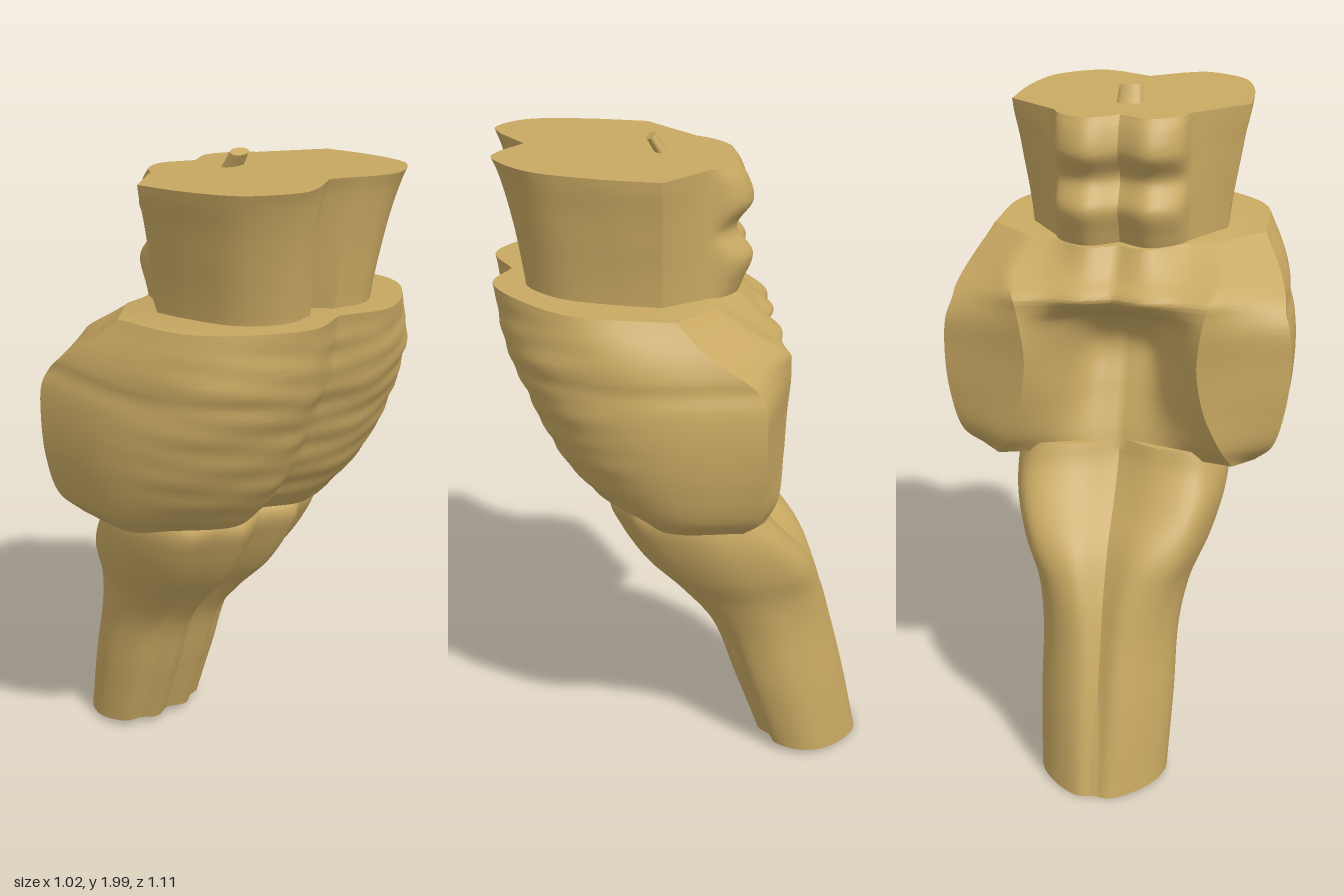
import * as THREE from 'three';
import { toCreasedNormals } from 'three/addons/utils/BufferGeometryUtils.js';

const material = new THREE.MeshStandardMaterial({ color: 0xc8a862, roughness: 0.8 });
const { smoothstep } = THREE.MathUtils;
const SUB = 6; // samples between neighbouring outline points

// Lofts mirrored cross-sections, lowest first. section(...key) gives half an
// outline as [x, z] points from the front midline round the left side to the
// back midline; corners are the points that stay sharp; shape adjusts each point.
function loft(name, keys, section, corners, steps, shape) {
  const outlines = keys.map(([y, ...sizes]) =>
    section(...sizes).map(([x, z]) => new THREE.Vector3(x, y, z)));
  const rails = outlines[0].map((_, i) => new THREE.CatmullRomCurve3(outlines.map((o) => o[i])));
  const breaks = [0, ...corners, rails.length - 1];
  const rings = [];
  for (let s = 0; s <= steps; s++) {
    const controls = rails.map((r) => r.getPoint(s / steps));
    const half = [];
    for (let b = 0; b + 1 < breaks.length; b++) {
      const part = controls.slice(breaks[b], breaks[b + 1] + 1);
      const points = new THREE.CatmullRomCurve3(part).getPoints((part.length - 1) * SUB);
      half.push(...(b ? points.slice(1) : points));
    }
    half.forEach(shape);
    const mirrored = half.slice(1, -1).reverse()
      .map((p) => new THREE.Vector3(-p.x, p.y, p.z));
    rings.push([...half, ...mirrored]);
  }

  const n = rings[0].length;
  const index = [];
  for (let s = 0; s < steps; s++) {
    for (let j = 0; j < n; j++) {
      const a = s * n + j, b = s * n + (j + 1) % n;
      index.push(a, b, b + n, a, b + n, a + n);
    }
  }
  // end caps
  for (const [ring, base, up] of [[rings[0], 0, false], [rings[steps], steps * n, true]]) {
    const flat = ring.map((p) => new THREE.Vector2(p.x, -p.z));
    for (const [a, b, c] of THREE.ShapeUtils.triangulateShape(flat, [])) {
      const turn = flat[b].clone().sub(flat[a]).cross(flat[c].clone().sub(flat[a]));
      if ((turn > 0) === up) index.push(base + a, base + b, base + c);
      else index.push(base + a, base + c, base + b);
    }
  }
  const geometry = new THREE.BufferGeometry().setFromPoints(rings.flat());
  geometry.setIndex(index);
  const mesh = new THREE.Mesh(toCreasedNormals(geometry, 0.65), material);
  mesh.name = name;
  return mesh;
}

// Stalk section: front columns, side swelling, back columns that spread apart
// around a hollow
function medullaSection(width, front, back, hollow) {
  const unit = [[0, .08], [.33, 0], [.56, .1], [.82, .15], [1, .4], [.92, .63], [.62, .86], [.24, 1], [0, .98]];
  const spread = [0, 0, 0, 0, 0, .9, 2, 1.9, 0];
  const sink = [0, 0, 0, 0, 0, 0, -.3, .3, 1];
  return unit.map(([u, v], i) => [
    (u + hollow * spread[i]) * width,
    front + (back - front) * v + hollow * sink[i],
  ]);
}

// Bulge section: rounded front, flat cut from outer to inner corner, hollow floor
function ponsSection(width, front, outerZ, innerX, innerZ, floor) {
  return [
    [0, front - .05], [.14, front], [.74 * width, front - .1], [.96 * width, (front + outerZ) / 2 + .02],
    [width, outerZ], [innerX, innerZ],
    [.68 * innerX, .65 * innerZ + .35 * floor], [.09, floor - .03], [0, floor],
  ];
}

// Block section: front pillar beside a cleft, straight flank, lobe at the back
function midbrainSection(width, front, cleft, lobe) {
  return [
    [0, front - .085], [cleft, front - .02], [.48 * width, front], [.83 * width, front - .085],
    [.97 * width, front - .25], [width, .09],
    [.2, -.045], [.175, lobe + .05], [.09, lobe], [0, lobe + .05],
  ];
}

export function createModel() {
  const model = new THREE.Group();
  model.name = 'brainstem';

  // Leaning lower stalk; its end is cut on a slight slope
  model.add(loft('medulla', [
    [0.02, .19, -.23, -.555, 0],
    [0.24, .2, -.155, -.51, .01],
    [0.45, .205, -.08, -.46, .02],
    [0.58, .23, .02, -.43, .04],
    [0.70, .28, .13, -.39, .07],
    [0.82, .31, .205, -.30, .1],
    [0.91, .315, .24, -.23, .1],
    [0.97, .30, .21, -.20, .1],
  ], medullaSection, [2], 48, (p) => {
    p.y += 0.09 * (p.z + 0.4) * Math.max(0, 1 - p.y / 0.3);
  }));

  // Broad middle bulge with cut side stalks and an arched hollow behind
  model.add(loft('pons', [
    [0.94, .41, .25, -.13, .35, -.2, -.11],
    [1.00, .465, .31, -.17, .32, -.24, -.09],
    [1.12, .50, .395, -.18, .27, -.26, -.04],
    [1.25, .512, .455, -.18, .25, -.27, 0],
    [1.35, .505, .495, -.18, .26, -.277, -.08],
    [1.40, .49, .515, -.16, .27, -.275, -.2],
    [1.44, .485, .53, -.12, .28, -.27, -.24],
    [1.51, .46, .54, -.03, .31, -.19, -.19],
    [1.60, .41, .555, .06, .28, -.06, -.13],
  ], ponsSection, [4, 5], 72, (p) => {
    // faint cross ridges on the front, and a slightly tilted top
    const front = smoothstep(p.z, 0.05, 0.3) * smoothstep(1.6 - p.y, 0, 0.08);
    p.z += 0.002 * front * (Math.sin(p.y * 46 + p.x * 9) + Math.sin(p.y * 83 - p.x * 17));
    p.y += 0.07 * (p.z - 0.3) * smoothstep(p.y, 1.4, 1.6);
  }));

  // Upper block: two front pillars with a cleft, four rounded lobes at the back
  model.add(loft('midbrain', [
    [1.54, .29, .46, .045, -.13],
    [1.60, .295, .46, .045, -.155],
    [1.68, .305, .47, .05, -.182],
    [1.77, .32, .485, .06, -.135],
    [1.86, .335, .505, .075, -.182],
    [1.93, .35, .525, .09, -.165],
    [1.965, .355, .54, .1, -.14],
  ], midbrainSection, [1, 5, 6], 48, (p) => {
    p.y += 0.07 * (p.z - 0.3) * smoothstep(p.y, 1.6, 1.95);
  }));

  // Small leaning nub on the top
  const nub = new THREE.Mesh(new THREE.CylinderGeometry(0.034, 0.04, 0.075, 16), material);
  nub.name = 'topNub';
  nub.scale.set(1, 1, 0.45);
  nub.rotation.x = 0.55;
  nub.position.set(0, 1.96, 0.08);
  model.add(nub);

  return model;
}
